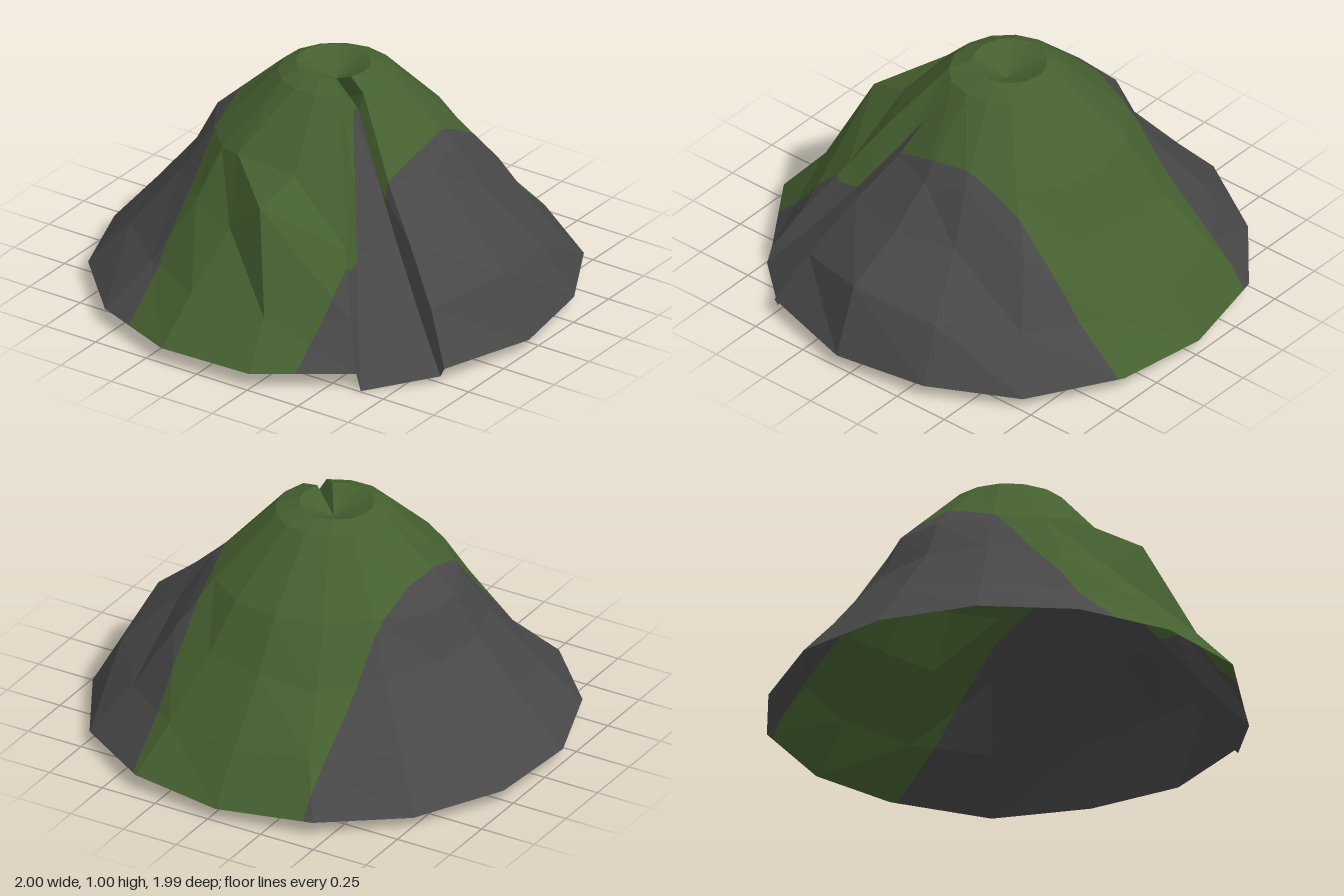
import * as THREE from 'three';

// Half-width of the grassy band at depth z: wider at the summit and beside the gully
function bandEdge(z, sign) {
  const summit = 0.035 * Math.exp(-((z / 0.2) ** 2));
  const gully = sign > 0 ? 0.04 * Math.exp(-(((z - 0.58) / 0.12) ** 2)) : 0;
  return 0.402 + summit + gully;
}

// Cut a polygon along one border of the band, keeping its outer or inner part
function clip(poly, sign, outer) {
  const distance = (p) => (sign * p.x - bandEdge(p.z, sign)) * (outer ? 1 : -1);
  const out = [];
  poly.forEach((p, i) => {
    const q = poly[(i + 1) % poly.length];
    const dp = distance(p), dq = distance(q);
    if (dp >= 0) out.push(p);
    if (dp * dq < 0) out.push(p.clone().lerp(q, dp / (dp - dq)));
  });
  return out;
}

function addPolygon(list, poly) {
  for (let i = 1; i < poly.length - 1; i++) {
    for (const p of [poly[0], poly[i], poly[i + 1]]) list.push(p.x, p.y, p.z);
  }
}

function makeMesh(name, positions, material) {
  const geometry = new THREE.BufferGeometry();
  geometry.setAttribute('position', new THREE.Float32BufferAttribute(positions, 3));
  geometry.computeVertexNormals();
  const mesh = new THREE.Mesh(geometry, material);
  mesh.name = name;
  return mesh;
}

export function createModel() {
  const group = new THREE.Group();
  group.name = 'volcano';
  const grass = new THREE.MeshStandardMaterial({ color: 0x456030, side: THREE.DoubleSide, flatShading: true });
  grass.name = 'grass green';
  const rock = new THREE.MeshStandardMaterial({ color: 0x484848, side: THREE.DoubleSide, flatShading: true });
  rock.name = 'rock grey';

  const V = (x, y, z) => new THREE.Vector3(x, y, z);
  const centre = V(0, 0.93, 0);

  // Rings from the foot to the crater lip: radius and height
  const rings = [[1.012, 0.065], [0.84, 0.25], [0.635, 0.5], [0.5, 0.705], [0.24, 0.97], [0.155, 1.005]];

  // Uneven ledges: angle -> { ring: point }
  const ledges = {
    4: { 0: V(1, 0.055, 0.07), 1: V(0.88, 0.33, 0.08), 2: V(0.68, 0.5, 0.04), 3: V(0.5, 0.67, 0.02) },
    28: { 0: V(0.88, 0.07, 0.5), 1: V(0.76, 0.27, 0.42), 2: V(0.58, 0.49, 0.32), 3: V(0.42, 0.66, 0.23) },
    52: { 0: V(0.61, 0.07, 0.74), 1: V(0.52, 0.25, 0.65), 2: V(0.4, 0.48, 0.51), 3: V(0.3, 0.69, 0.38) },
    76: { 1: V(0.21, 0.24, 0.82), 2: V(0.07, 0.63, 0.65), 3: V(0.11, 0.71, 0.46) },
    100: { 1: V(-0.15, 0.25, 0.82), 2: V(-0.1, 0.48, 0.62), 3: V(-0.17, 0.73, 0.46) },
    124: { 1: V(-0.45, 0.25, 0.67), 2: V(-0.32, 0.51, 0.54) },
    172: { 1: V(-0.81, 0.29, 0.11), 2: V(-0.63, 0.51, 0.09), 3: V(-0.54, 0.69, 0.07) },
    196: { 2: V(-0.6, 0.5, -0.17), 3: V(-0.52, 0.69, -0.14) },
    220: { 0: V(-0.76, 0.05, -0.64) },
    244: { 1: V(-0.35, 0.27, -0.78), 2: V(-0.28, 0.47, -0.6) },
    268: { 0: V(-0.03, 0.05, -0.99) },
    316: { 0: V(0.74, 0.05, -0.7), 2: V(0.47, 0.5, -0.48) },
    340: { 0: V(0.94, 0.06, -0.34), 1: V(0.82, 0.28, -0.3) },
  };

  // Fifteen slope columns, starting and ending at the gully banks
  const columns = [];
  for (let k = 0; k < 15; k++) {
    const deg = (52 + 24 * k) % 360;
    const a = THREE.MathUtils.degToRad(deg);
    columns.push(rings.map(([r, y], j) => {
      if (ledges[deg]?.[j]) return ledges[deg][j];
      const shift = j === 5 ? -0.015 : 0;
      return V(r * Math.cos(a) + shift, y, r * Math.sin(a));
    }));
  }

  // Two columns for the floor of the gully, slightly sunken midway
  const floorColumn = (foot, top, lip) => {
    const column = [0, 0.27, 0.53, 0.73, 1].map((t) => {
      const p = foot.clone().lerp(top, t);
      p.y -= 0.16 * t * (1 - t);
      return p;
    });
    return [...column, lip];
  };
  columns.push(floorColumn(V(0.86, 0.03, 0.5), V(0.2, 0.9, 0.13), V(0.12, 0.915, 0.08)));
  columns.push(floorColumn(V(0.635, 0, 0.745), V(0.18, 0.9, 0.14), V(0.11, 0.915, 0.085)));

  // Sort the faces into grassy band, rocky flanks, crater and gully bed
  const band = [], flanks = [], crater = [], bed = [];
  columns.forEach((column, i) => {
    const next = columns[(i + 1) % columns.length];
    for (let j = 0; j < rings.length - 1; j++) {
      const corners = [column[j], column[j + 1], next[j + 1], next[j]];
      if (i === 15 && j < 4) {
        addPolygon(bed, corners);
        continue;
      }
      for (const tri of [[0, 1, 2], [0, 2, 3]].map((t) => t.map((n) => corners[n]))) {
        addPolygon(flanks, clip(tri, 1, true));
        addPolygon(flanks, clip(tri, -1, true));
        addPolygon(band, clip(clip(tri, 1, false), -1, false));
      }
    }
    // Crater bowl, notched where the gully breaks the lip
    addPolygon(crater, [column[5], centre, next[5]]);
  });

  group.add(
    makeMesh('grassySlope', band, grass),
    makeMesh('rockyFlanks', flanks, rock),
    makeMesh('crater', crater, grass),
    makeMesh('gullyBed', bed, rock),
  );
  return group;
}
